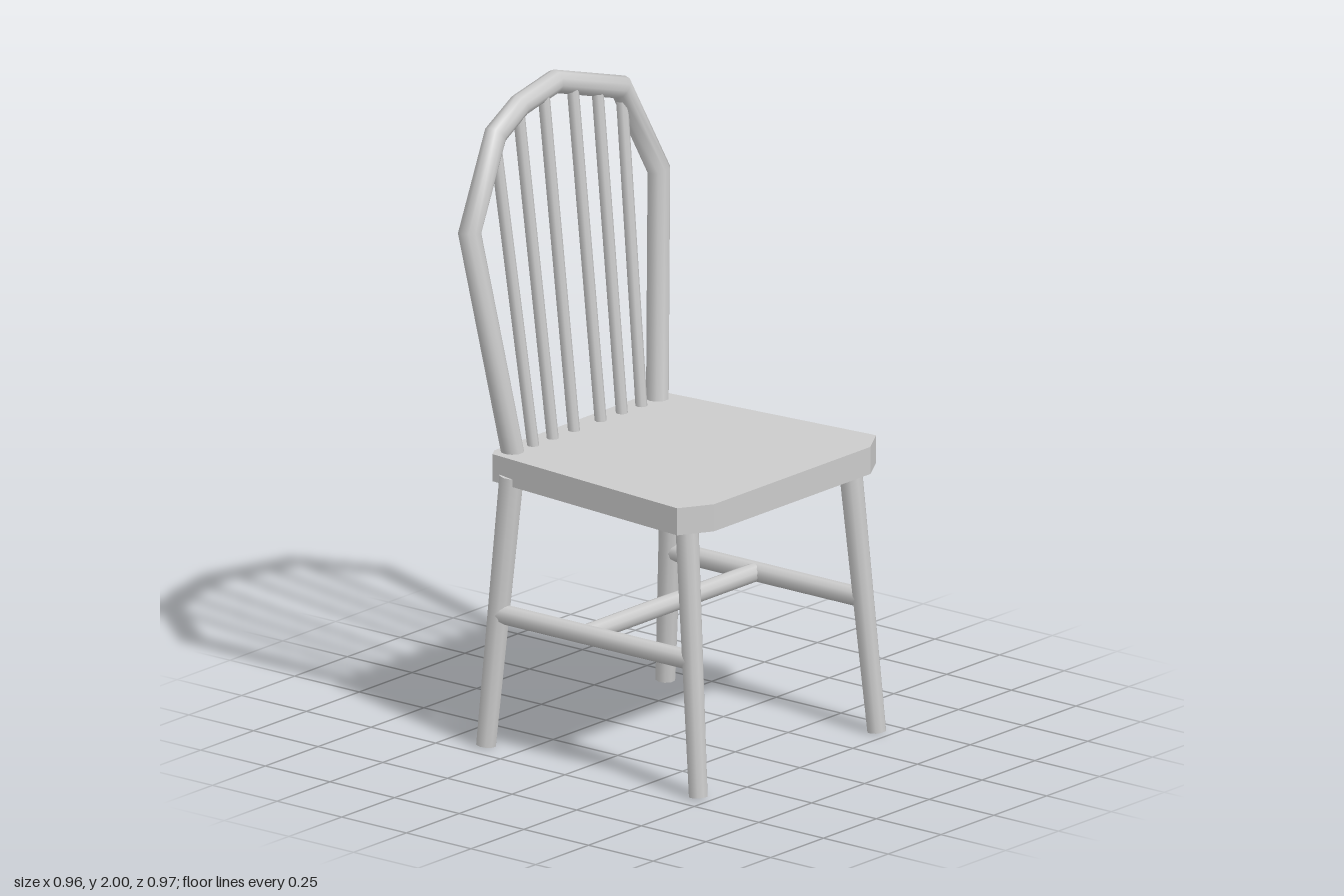
import * as THREE from 'three';

const material = new THREE.MeshStandardMaterial({ color: 0xcccccc });
const v = (x, y, z) => new THREE.Vector3(x, y, z);

function addMesh(parent, name, geometry) {
  const mesh = new THREE.Mesh(geometry, material);
  mesh.name = name;
  parent.add(mesh);
  return mesh;
}

// Round rod between two points, tapering from r1 to r2
function addRod(parent, name, a, b, r1, r2 = r1, sides = 10) {
  const dir = b.clone().sub(a);
  const mesh = addMesh(parent, name, new THREE.CylinderGeometry(r2, r1, dir.length(), sides));
  mesh.position.copy(a).lerp(b, 0.5);
  mesh.quaternion.setFromUnitVectors(v(0, 1, 0), dir.normalize());
}

// Mitred round bar following an angular path that lies roughly in the plane facing `normal`
function sweepGeometry(points, radius, normal, sides = 10) {
  const pos = [], index = [];
  points.forEach((p, i) => {
    const before = p.clone().sub(points[Math.max(i - 1, 0)]).normalize();
    const after = points[Math.min(i + 1, points.length - 1)].clone().sub(p).normalize();
    const tangent = before.clone().add(after).normalize();
    const side = v(0, 0, 0).crossVectors(normal, tangent).normalize();
    const stretch = 1 / tangent.dot(i ? before : after);
    for (let k = 0; k < sides; k++) {
      const t = k / sides * Math.PI * 2;
      const q = p.clone().addScaledVector(side, Math.cos(t) * radius * stretch)
        .addScaledVector(normal, Math.sin(t) * radius);
      pos.push(q.x, q.y, q.z);
      if (i) {
        const a = (i - 1) * sides + k, b = (i - 1) * sides + (k + 1) % sides;
        index.push(a, b, a + sides, b, b + sides, a + sides);
      }
    }
  });
  const geo = new THREE.BufferGeometry();
  geo.setAttribute('position', new THREE.Float32BufferAttribute(pos, 3));
  geo.setIndex(index);
  geo.computeVertexNormals();
  return geo;
}

export function createModel() {
  const chair = new THREE.Group();
  chair.name = 'chair';

  // Seat: flat slab, wider at the front, with clipped corners
  const half = [[-0.38, 0.37], [-0.36, 0.402], [0.41, 0.471], [0.47, 0.37]];
  const outline = [...half, ...half.map(([x, z]) => [x, -z]).reverse()];
  const seatShape = new THREE.Shape(outline.map(([x, z]) => new THREE.Vector2(x, z)));
  const seat = new THREE.ExtrudeGeometry(seatShape, { depth: 0.085, bevelEnabled: false });
  seat.rotateX(-Math.PI / 2).translate(0, 0.826, 0);
  addMesh(chair, 'seat', seat);

  // Splayed legs and side stretchers
  for (const s of [1, -1]) {
    const label = s > 0 ? 'A' : 'B';
    addRod(chair, 'frontLeg' + label, v(0.452, 0.003, s * 0.422), v(0.377, 0.85, s * 0.385), 0.029, 0.036);
    addRod(chair, 'backLeg' + label, v(-0.367, 0.003, s * 0.424), v(-0.302, 0.85, s * 0.383), 0.031, 0.038);
    addRod(chair, 'sideStretcher' + label, v(-0.335, 0.418, s * 0.405), v(0.412, 0.418, s * 0.405), 0.03);
  }
  addRod(chair, 'crossStretcher', v(0, 0.418, -0.405), v(0, 0.418, 0.405), 0.029);

  // Angular bow of the backrest, leaning backwards, with one extra bend on the left
  const bowPath = [
    [-0.328, 0.88, 0.338], [-0.412, 1.605, 0.447], [-0.435, 1.873, 0.297], [-0.445, 1.933, 0.17],
    [-0.448, 1.966, 0],
    [-0.436, 1.878, -0.298], [-0.411, 1.588, -0.447], [-0.328, 0.88, -0.338],
  ].map(p => v(...p));
  addMesh(chair, 'backBow', sweepGeometry(bowPath, 0.035, v(1, 0.115, 0).normalize()));

  // Spindles fan out from the seat to the bow: [bottom z, top z, top y]
  const spindles = [[0.063, 0.068, 1.94], [0.163, 0.185, 1.905], [0.255, 0.3, 1.86]];
  for (const s of [1, -1]) {
    spindles.forEach(([z0, z1, y], i) => addRod(chair, 'spindle' + (s > 0 ? 'A' : 'B') + (i + 1),
      v(-0.32, 0.89, s * z0), v(-0.435, y, s * z1), 0.018, 0.018, 8));
  }
  return chair;
}
